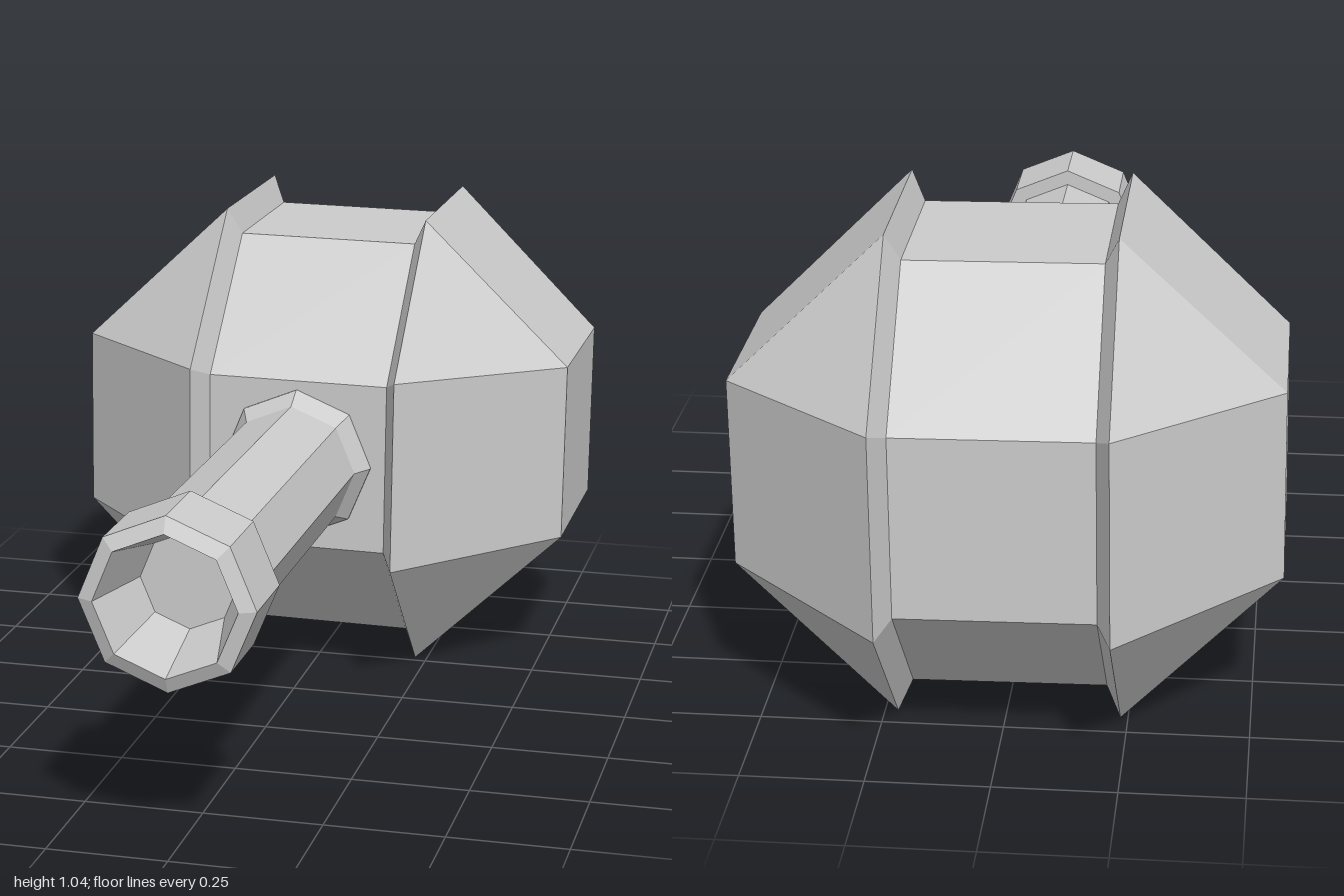
import * as THREE from 'three';

const material = new THREE.MeshStandardMaterial({ color: 0xcccccc, flatShading: true });

// Eight-cornered section: a = distance to the long sides, h = half their length
function ring(x, a, h) {
  return [[a, -h], [a, h], [h, a], [-h, a], [-a, h], [-a, -h], [-h, -a], [h, -a]]
    .map(([y, z]) => new THREE.Vector3(x, y, z));
}

// Skin consecutive sections (x ascending), dropping collapsed triangles
function skin(rings) {
  const pos = [];
  const tri = (a, b, c) => {
    if (new THREE.Triangle(a, b, c).getArea() > 1e-7) {
      for (const p of [a, b, c]) pos.push(p.x, p.y, p.z);
    }
  };
  for (let i = 0; i < rings.length - 1; i++) {
    for (let k = 0; k < 8; k++) {
      const n = (k + 1) % 8;
      const a = rings[i][k], b = rings[i][n], c = rings[i + 1][n], d = rings[i + 1][k];
      tri(a, b, d);
      tri(b, c, d);
    }
  }
  const geometry = new THREE.BufferGeometry();
  geometry.setAttribute('position', new THREE.Float32BufferAttribute(pos, 3));
  geometry.computeVertexNormals();
  return geometry;
}

// Eight-sided turned part along +z, from [radius, z] pairs
function turned(name, profile) {
  const points = profile.map(([r, z]) => new THREE.Vector2(r, z));
  const geometry = new THREE.LatheGeometry(points, 8).rotateX(Math.PI / 2);
  const mesh = new THREE.Mesh(geometry, material);
  mesh.name = name;
  return mesh;
}

export function createModel() {
  const model = new THREE.Group();
  model.name = 'turret';

  // Faceted ball: two side shells with a sunken band between them
  const half = [[0.2, 0.456, 0.19], [0.229, 0.516, 0.214], [0.557, 0.199, 0.199], [0.557, 0, 0]];
  const left = half.map(([x, a, h]) => ring(x, a, h));
  const right = half.map(([x, a, h]) => ring(-x, a, h)).reverse();
  const head = new THREE.Mesh(skin([...right, ...left]), material);
  head.name = 'head';
  head.position.set(0, 0.52, -0.483);
  head.rotation.z = -0.012;
  model.add(head);

  // Barrel with flared root, and a hollow muzzle
  const gun = new THREE.Group();
  gun.name = 'gun';
  gun.position.y = 0.522;
  gun.add(
    turned('barrel', [[0.168, -0.06], [0.168, -0.02], [0.143, 0.025], [0.143, 0.83]]),
    turned('muzzle', [[0.13, 0.815], [0.178, 0.815], [0.178, 0.985], [0.145, 1], [0.1, 0.83], [0, 0.83]])
  );
  model.add(gun);

  return model;
}
